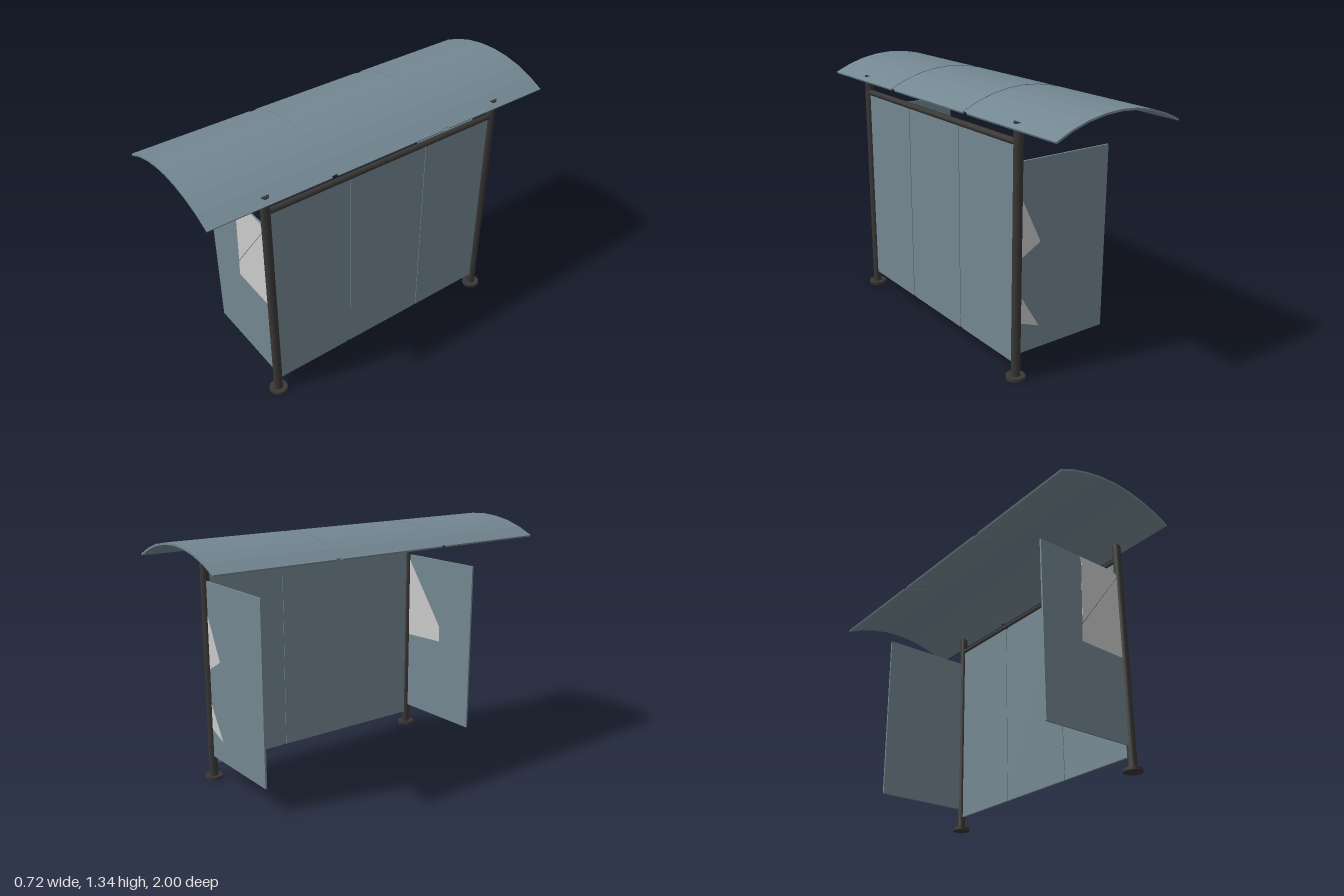
import * as THREE from 'three';

const POST_X = 0.313, POST_Z = 0.69;

export function createModel() {
  const group = new THREE.Group();
  const glass = new THREE.MeshStandardMaterial({ color: 0x738792 });
  const steel = new THREE.MeshStandardMaterial({ color: 0x383735 });
  const bare = new THREE.MeshStandardMaterial({ color: 0xcccccc });

  const add = (name, geometry, material, x = 0, y = 0, z = 0) => {
    const mesh = new THREE.Mesh(geometry, material);
    mesh.name = name;
    mesh.position.set(x, y, z);
    group.add(mesh);
    return mesh;
  };
  // Flat plate in the xy plane, centred on z
  const plate = (points, depth) => {
    const shape = new THREE.Shape(points.map(([x, y]) => new THREE.Vector2(x, y)));
    return new THREE.ExtrudeGeometry(shape, { depth, bevelEnabled: false }).translate(0, 0, -depth / 2);
  };

  // Curved roof: three vaulted sheets with slightly recessed joint strips
  const arch = (half, top, thickness, length) => {
    const radius = 0.773, steps = 8, outer = [], inner = [];
    const sweep = Math.asin(half / radius);
    for (let i = 0; i <= steps; i++) {
      const a = -sweep + (2 * sweep * i) / steps;
      const centre = top - radius;
      outer.push([radius * Math.sin(a), centre + radius * Math.cos(a)]);
      inner.unshift([(radius - thickness) * Math.sin(a), centre + (radius - thickness) * Math.cos(a)]);
    }
    return plate([...outer, ...inner], length);
  };
  add('roofSheetMiddle', arch(0.362, 1.338, 0.01, 0.64), glass);
  for (const s of [1, -1]) {
    add('roofSheetEnd', arch(0.362, 1.338, 0.01, 0.645), glass, 0, 0, s * 0.6775);
    add('roofJoint', arch(0.352, 1.335, 0.005, 0.036), glass, 0, 0, s * 0.3375);
  }

  // Posts with round feet
  for (const s of [1, -1]) {
    add('post', new THREE.CylinderGeometry(0.023, 0.023, 1.268, 12), steel, POST_X, 0.634, s * POST_Z);
    add('foot', new THREE.CylinderGeometry(0.049, 0.049, 0.017, 12), steel, POST_X, 0.0085, s * POST_Z);
  }

  // Top rail between the posts
  add('topRail', new THREE.CylinderGeometry(0.016, 0.016, 2 * POST_Z, 12).rotateX(Math.PI / 2), steel, POST_X, 1.173, 0);

  // Long wall: three panes with recessed joint strips
  const wallHeight = 1.08, wallY = 0.08 + wallHeight / 2;
  add('wallPaneMiddle', new THREE.BoxGeometry(0.012, wallHeight, 0.446), glass, POST_X, wallY, 0);
  for (const s of [1, -1]) {
    add('wallPaneEnd', new THREE.BoxGeometry(0.012, wallHeight, 0.435), glass, POST_X, wallY, s * 0.4625);
    add('wallJoint', new THREE.BoxGeometry(0.006, wallHeight, 0.022), glass, POST_X, wallY, s * 0.234);
  }

  // End screens
  for (const s of [1, -1]) {
    add('endScreen', new THREE.BoxGeometry(0.526, 0.955, 0.01), glass, 0.036, 0.6075, s * POST_Z);
  }

  // Broken pale shards set in the end screens
  const through = 0.012, skin = 0.003;
  add('lowerShard', plate([[0.02, 0.6], [0.298, 0.59], [0.298, 1.06], [0.025, 0.69]], through), bare, 0, 0, POST_Z);
  add('upperShard', plate([[0.026, 0.7], [0.298, 1.066], [0.255, 1.085], [0.03, 1.085], [0.04, 1.05]], skin),
    bare, 0, 0, POST_Z + 0.0045);
  add('rearUpperShard', plate([[0.298, 0.615], [0.298, 0.92], [0.18, 0.68]], skin), bare, 0, 0, -POST_Z - 0.0045);
  add('rearLowerShard', plate([[0.298, 0.29], [0.298, 0.435], [0.18, 0.245]], skin), bare, 0, 0, -POST_Z - 0.0045);

  return group;
}
